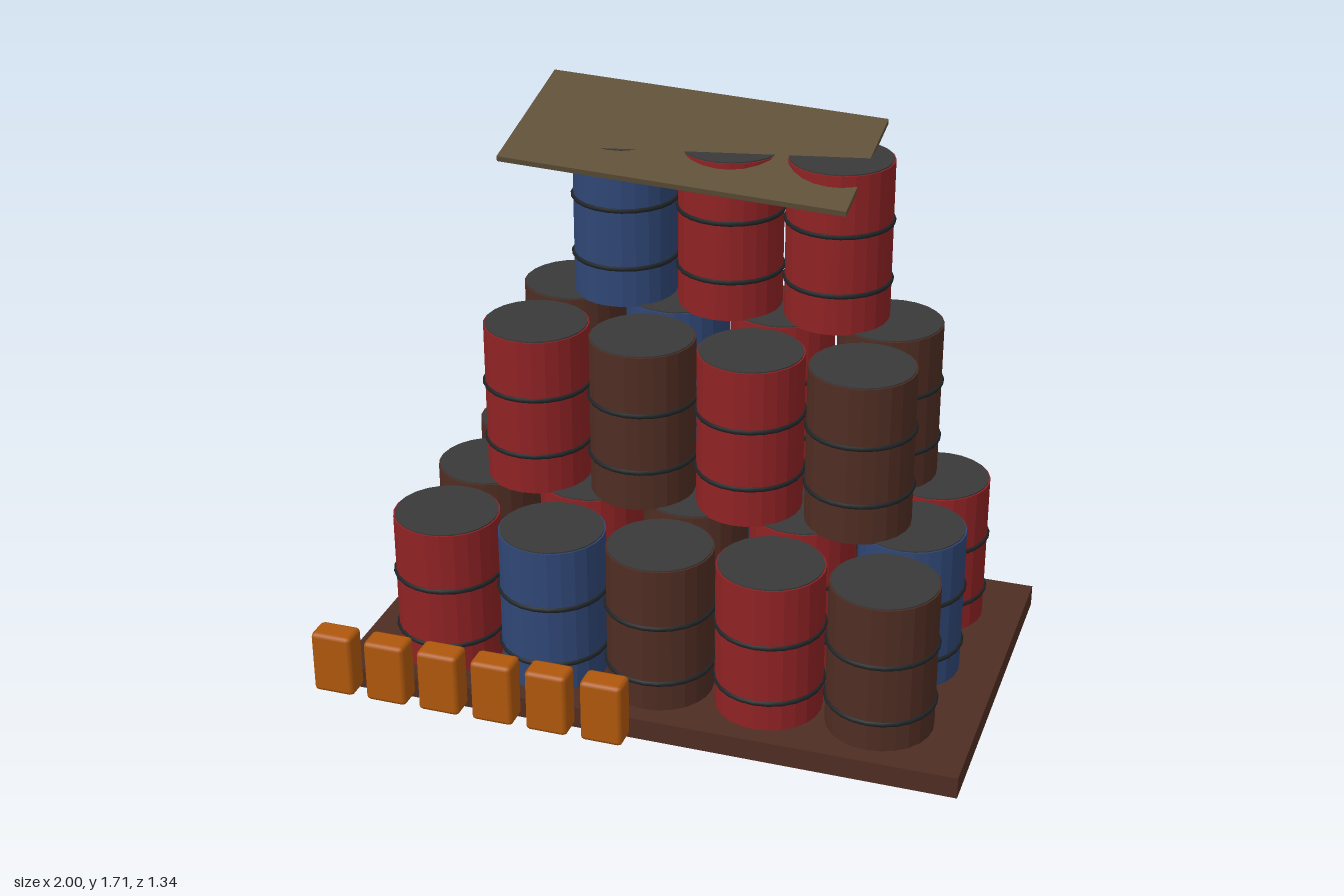
import * as THREE from 'three';
import { RoundedBoxGeometry } from 'three/addons/geometries/RoundedBoxGeometry.js';

const mat = (name, color, flatShading = false) => {
  const m = new THREE.MeshStandardMaterial({ color, flatShading });
  m.name = name;
  return m;
};

export function createModel() {
  const model = new THREE.Group();
  model.name = 'barrelStack';

  const paint = {
    R: mat('red paint', 0x8f2224, true),
    B: mat('blue paint', 0x2f4675, true),
    N: mat('brown rust', 0x4f2d23, true),
  };
  const lidGrey = mat('lid grey', 0x393939);
  const hoopBlack = mat('hoop black', 0x202426);
  const boardOlive = mat('board olive', 0x5f5038);
  const boxOrange = mat('box orange', 0xae570c);

  const add = (parent, name, geo, material, x = 0, y = 0, z = 0) => {
    const mesh = new THREE.Mesh(geo, material);
    mesh.name = name;
    mesh.position.set(x, y, z);
    parent.add(mesh);
    return mesh;
  };

  // Base slab
  add(model, 'base', new THREE.BoxGeometry(1.99, 0.07, 1.165), paint.N, 0.003, 0.035, -0.082);

  // Shared barrel geometry
  const H = 0.52;
  const bodyGeo = new THREE.CylinderGeometry(0.167, 0.167, H, 24);
  const lidGeo = new THREE.CylinderGeometry(0.162, 0.162, 0.004, 24);
  const hoopGeo = new THREE.TorusGeometry(0.167, 0.008, 6, 24).rotateX(Math.PI / 2);

  function barrel(colour, x, y, z) {
    const g = new THREE.Group();
    g.name = 'barrel';
    g.position.set(x, y, z);
    add(g, 'barrelBody', bodyGeo, paint[colour], 0, H / 2, 0);
    add(g, 'barrelLid', lidGeo, lidGrey, 0, H + 0.002, 0);
    for (const h of [0.13, 0.325]) add(g, 'barrelHoop', hoopGeo, hoopBlack, 0, h, 0);
    model.add(g);
  }

  // Layers from the bottom; each row is [z, colours from -x to +x]
  const front = 0.274, middle = -0.08, back = -0.432;
  const layers = [
    [[front, 'RBNRN'], [middle, 'NRNRB'], [back, 'NRBNR']],
    [[middle, 'RNRN'], [back, 'NBRN']],
    [[back, 'BRR']],
  ];
  layers.forEach((rows, level) => {
    for (const [z, colours] of rows) {
      [...colours].forEach((c, i) => {
        const x = 0.003 + (i - (colours.length - 1) / 2) * 0.351;
        barrel(c, x, 0.035 + level * H, z);
      });
    }
  });

  // Tilted board lying on the top barrels
  const board = add(model, 'board', new THREE.BoxGeometry(1.108, 0.018, 0.52), boardOlive, -0.112, 1.609, -0.407);
  board.rotation.set(0.237, 0, -0.049);

  // Row of small bevelled boxes in front
  const boxGeo = new RoundedBoxGeometry(0.133, 0.205, 0.086, 1, 0.014);
  for (let i = 0; i < 6; i++) {
    add(model, 'smallBox', boxGeo, boxOrange, -0.932 + i * 0.1755, 0.178, 0.624);
  }

  return model;
}
